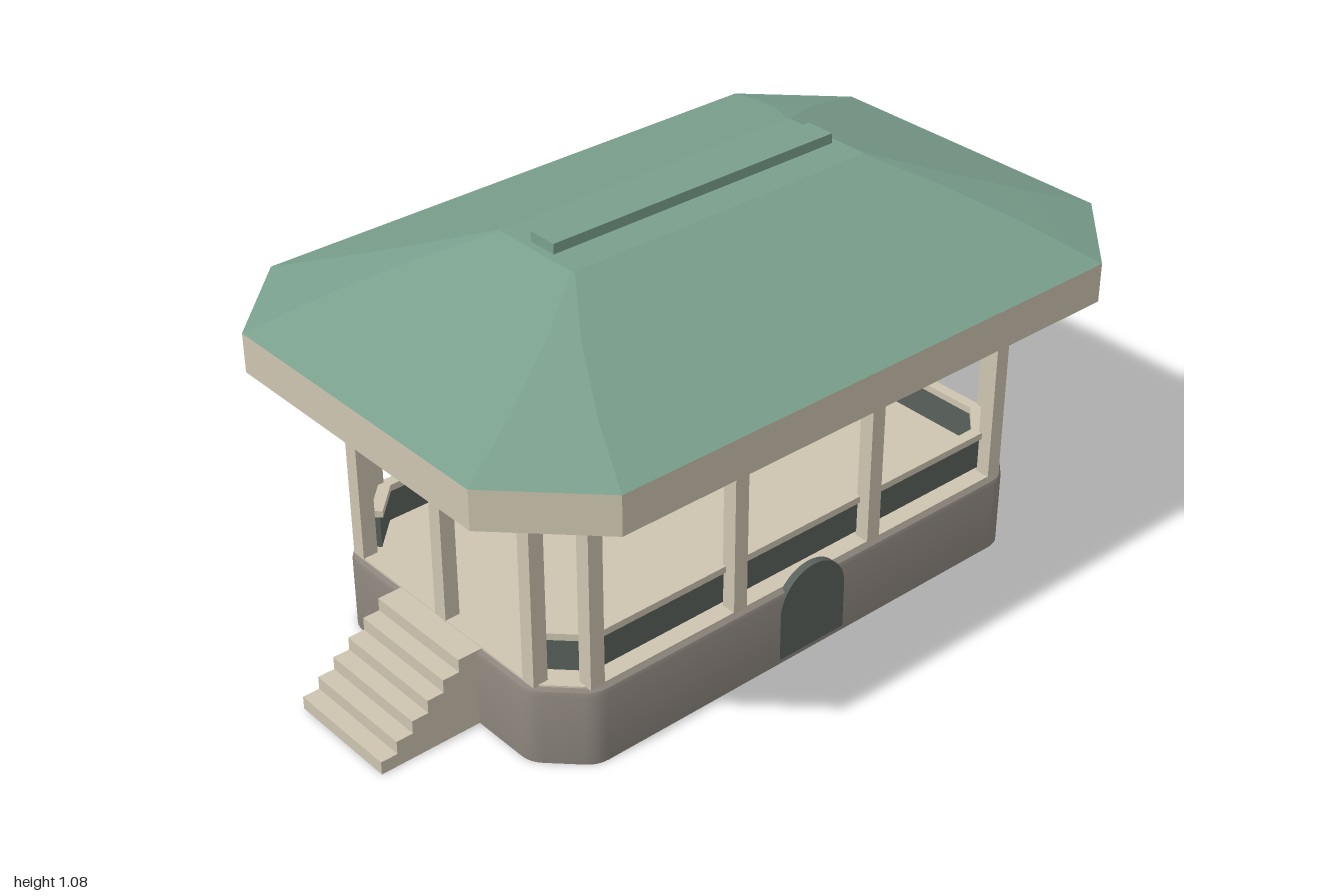
import * as THREE from 'three';
import { toCreasedNormals } from 'three/addons/utils/BufferGeometryUtils.js';

const CZ = -0.045; // centre of the pavilion; the stairs reach further forward

const mat = (name, color, side = THREE.FrontSide) => {
  const m = new THREE.MeshStandardMaterial({ color, side });
  m.name = name;
  return m;
};

// Chamfered rectangle as [x, z] corners, counter-clockwise from above
function octagon(hx, hz, c) {
  return [
    [-hx + c, hz], [hx - c, hz], [hx, hz - c], [hx, -hz + c],
    [hx - c, -hz], [-hx + c, -hz], [-hx, -hz + c], [-hx, hz - c],
  ];
}

// Replaces each corner with a short curve
function roundCorners(pts, r, n = 4) {
  const out = [];
  pts.forEach((p, i) => {
    const v = new THREE.Vector2(...p);
    const toward = (q) => {
      const d = new THREE.Vector2(...q).sub(v);
      return d.setLength(Math.min(r, d.length() * 0.45)).add(v);
    };
    const a = toward(pts[(i + pts.length - 1) % pts.length]);
    const b = toward(pts[(i + 1) % pts.length]);
    new THREE.QuadraticBezierCurve(a, v, b).getPoints(n).forEach((q) => out.push([q.x, q.y]));
  });
  return out;
}

// Skins rings of { y, pts } from bottom to top, with optional caps
function loft(rings, { bottom = true, top = true, crease = 0.05 } = {}) {
  const pos = [];
  const n = rings[0].pts.length;
  const at = (r, i) => [r.pts[i % n][0], r.y, r.pts[i % n][1]];
  for (let k = 0; k < rings.length - 1; k++) {
    for (let i = 0; i < n; i++) {
      const a = at(rings[k], i), b = at(rings[k], i + 1);
      const c = at(rings[k + 1], i + 1), d = at(rings[k + 1], i);
      pos.push(...a, ...b, ...c, ...a, ...c, ...d);
    }
  }
  const last = rings[rings.length - 1];
  for (let i = 0; i < n; i++) {
    if (top) pos.push(0, last.y, 0, ...at(last, i), ...at(last, i + 1));
    if (bottom) pos.push(0, rings[0].y, 0, ...at(rings[0], i + 1), ...at(rings[0], i));
  }
  const g = new THREE.BufferGeometry();
  g.setAttribute('position', new THREE.Float32BufferAttribute(pos, 3));
  return toCreasedNormals(g, crease);
}

export function createModel() {
  const model = new THREE.Group();
  model.name = 'pavilion';
  const cream = mat('cream stone', 0xcdc5b0);
  const grey = mat('grey plinth', 0x8a837b, THREE.DoubleSide);
  const green = mat('green roof', 0x7a9f8d);
  const dark = mat('dark panel', 0x59615b);

  const body = new THREE.Group();
  body.name = 'body';
  body.position.z = CZ;
  model.add(body);
  const add = (name, geo, material, x = 0, y = 0, z = 0, parent = body) => {
    const m = new THREE.Mesh(geo, material);
    m.name = name;
    m.position.set(x, y, z);
    parent.add(m);
    return m;
  };

  // Hollow plinth, open below, with a softened top edge
  const plan = (d) => roundCorners(octagon(0.45 - d, 0.77 - d, 0.11 - d * 0.586), 0.03);
  add('plinth', loft([
    { y: 0, pts: plan(0) }, { y: 0.19, pts: plan(0) },
    { y: 0.2, pts: plan(0.004) }, { y: 0.205, pts: plan(0.015) },
  ], { bottom: false, top: false, crease: 0.7 }), grey);
  add('floor', loft([{ y: 0.192, pts: plan(0.016) }, { y: 0.209, pts: plan(0.016) }]), cream);

  // Columns with square capitals
  const shaft = new THREE.BoxGeometry(0.04, 0.52, 0.04);
  const capital = new THREE.BoxGeometry(0.06, 0.042, 0.06);
  const spots = [[0, 0.735], [0, -0.735]];
  for (const s of [-1, 1]) {
    for (const z of [0.645, 0.217, -0.217, -0.645]) spots.push([s * 0.415, z]);
    for (const z of [0.735, -0.735]) spots.push([s * 0.325, z]);
  }
  for (const [x, z] of spots) {
    const column = new THREE.Group();
    column.name = 'column';
    column.position.set(x, 0, z);
    body.add(column);
    add('shaft', shaft, cream, 0, 0.465, 0, column);
    add('capital', capital, cream, 0, 0.737, 0, column);
  }

  // Railing on every side but the front
  const line = octagon(0.39, 0.705, 0.08);
  for (let i = 1; i < 8; i++) {
    const [x0, z0] = line[i], [x1, z1] = line[(i + 1) % 8];
    const len = Math.hypot(x1 - x0, z1 - z0);
    const side = new THREE.Group();
    side.name = 'railing';
    side.position.set((x0 + x1) / 2, 0, (z0 + z1) / 2);
    side.rotation.y = -Math.atan2(z1 - z0, x1 - x0);
    body.add(side);
    add('railingPanel', new THREE.BoxGeometry(len + 0.006, 0.087, 0.014), dark, 0, 0.2635, 0, side);
    add('handrail', new THREE.BoxGeometry(len + 0.012, 0.018, 0.03), cream, 0, 0.316, 0, side);
  }

  // Arched door on one long side
  const arch = new THREE.Shape();
  arch.moveTo(-0.104, 0.015);
  arch.lineTo(0.104, 0.015);
  arch.lineTo(0.104, 0.142);
  arch.absarc(0, 0.142, 0.104, 0, Math.PI, false);
  arch.closePath();
  const door = add('archedDoor', new THREE.ExtrudeGeometry(arch, {
    depth: 0.02, bevelEnabled: false, curveSegments: 20,
  }), dark, 0.434);
  door.rotation.y = Math.PI / 2;

  // Eaves band, hipped roof and ridge cap
  const eaves = octagon(0.635, 0.955, 0.22);
  add('eavesBand', loft([{ y: 0.757, pts: eaves }, { y: 0.858, pts: eaves }]), cream);
  const roofRings = [[0, 0.22], [0.35, 0.125], [0.7, 0.05], [1, 0.006]].map(([t, c]) => ({
    y: 0.858 + 0.195 * t,
    pts: octagon(0.635 - 0.505 * t, 0.955 - 0.51 * t, c),
  }));
  add('roof', loft(roofRings, { bottom: false, crease: 0.1 }), green);
  add('ridgeCap', new THREE.BoxGeometry(0.08, 0.03, 0.85), green, 0, 1.064, 0);

  // Front stairs from one stepped profile
  const steps = new THREE.Shape();
  steps.moveTo(0.7, 0);
  steps.lineTo(1, 0);
  for (let k = 0; k < 6; k++) {
    steps.lineTo(1 - 0.045 * k, 0.0345 * (k + 1));
    steps.lineTo(k < 5 ? 1 - 0.045 * (k + 1) : 0.7, 0.0345 * (k + 1));
  }
  steps.closePath();
  const stairs = add('stairs', new THREE.ExtrudeGeometry(steps, { depth: 0.31, bevelEnabled: false }),
    cream, 0.155, 0, 0, model);
  stairs.rotation.y = -Math.PI / 2;
  return model;
}
